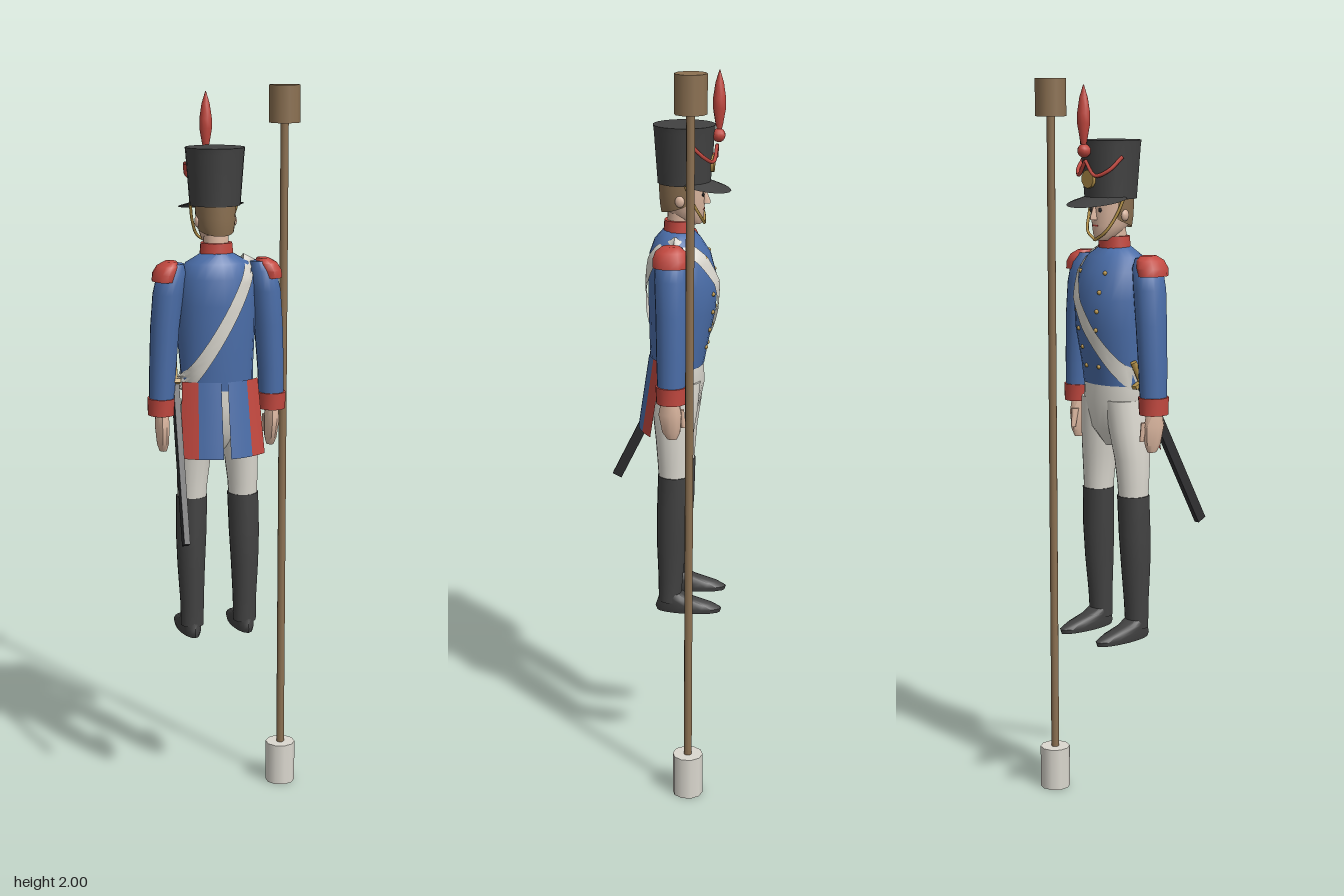
import * as THREE from 'three';
import { toCreasedNormals } from 'three/addons/utils/BufferGeometryUtils.js';

const mat = (name, color) => new THREE.MeshStandardMaterial({ name, color, side: THREE.DoubleSide });

// Stack of ellipses [y, x, z, rx, rz], bottom to top, with closed ends
function loft(rings, seg = 16) {
  const pos = [], idx = [], n = rings.length;
  for (const [y, x, z, rx, rz] of rings)
    for (let j = 0; j < seg; j++) {
      const a = (j / seg) * Math.PI * 2;
      pos.push(x + rx * Math.cos(a), y, z + rz * Math.sin(a));
    }
  for (const r of [rings[0], rings[n - 1]]) pos.push(r[1], r[0], r[2]);
  for (let j = 0; j < seg; j++) {
    const k = (j + 1) % seg;
    for (let i = 0; i < n - 1; i++) {
      const a = i * seg + j, c = i * seg + k;
      idx.push(a, a + seg, c, c, a + seg, c + seg);
    }
    idx.push(n * seg, j, k, n * seg + 1, (n - 1) * seg + k, (n - 1) * seg + j);
  }
  return finish(pos, idx);
}

// Open sheet from a rule f(u, v) -> [x, y, z]
function sheet(nu, nv, f) {
  const pos = [], idx = [];
  for (let i = 0; i <= nu; i++) for (let j = 0; j <= nv; j++) pos.push(...f(i / nu, j / nv));
  for (let i = 0; i < nu; i++)
    for (let j = 0; j < nv; j++) {
      const a = i * (nv + 1) + j, b = a + nv + 1;
      idx.push(a, b, a + 1, a + 1, b, b + 1);
    }
  return finish(pos, idx);
}

function finish(pos, idx) {
  const g = new THREE.BufferGeometry();
  g.setAttribute('position', new THREE.Float32BufferAttribute(pos, 3));
  g.setIndex(idx);
  return toCreasedNormals(g, 0.8);
}

const lerp = THREE.MathUtils.lerp;
const tube = (pts, r) =>
  new THREE.TubeGeometry(new THREE.CatmullRomCurve3(pts.map(p => new THREE.Vector3(...p))), 20, r, 6);

// Jacket cross-sections, also followed by the strap and buttons
const TORSO = [
  [1.2, 0, -0.03, 0.1, 0.072], [1.25, 0, -0.033, 0.1, 0.078], [1.35, 0, -0.042, 0.107, 0.09],
  [1.43, 0, -0.044, 0.108, 0.093], [1.5, 0, -0.036, 0.103, 0.082], [1.54, 0, -0.03, 0.086, 0.062],
  [1.565, 0, -0.03, 0.042, 0.04],
];
function torsoZ(x, y, side, off) {
  let i = 0;
  while (i < TORSO.length - 2 && y > TORSO[i + 1][0]) i++;
  const t = THREE.MathUtils.clamp((y - TORSO[i][0]) / (TORSO[i + 1][0] - TORSO[i][0]), 0, 1);
  const [, , cz, rx, rz] = TORSO[i].map((v, k) => lerp(v, TORSO[i + 1][k], t));
  return cz + side * (rz * Math.sqrt(Math.max(0, 1 - (x / rx) ** 2)) + off);
}

export function createModel() {
  const M = {
    blue: mat('coatBlue', 0x4a6da8), red: mat('facingRed', 0xc2483f), black: mat('leatherBlack', 0x424242),
    dark: mat('scabbardDark', 0x2e2e30), white: mat('clothWhite', 0xdbd8cf), brown: mat('woodBrown', 0x8c7152),
    skin: mat('skin', 0xdcb7a0), gold: mat('brass', 0xb8954c),
  };
  const model = new THREE.Group();
  const man = new THREE.Group();
  man.name = 'soldier';
  man.position.x = -0.03;
  model.add(man);
  const add = (name, geo, m, p = [0, 0, 0], parent = man) => {
    const mesh = new THREE.Mesh(geo, m);
    mesh.name = name;
    mesh.position.set(...p);
    parent.add(mesh);
    return mesh;
  };

  // Sponge staff
  const staff = new THREE.Group();
  staff.name = 'staff';
  staff.position.set(0.175, 0, -0.083);
  model.add(staff);
  add('pole', new THREE.CylinderGeometry(0.011, 0.011, 1.8, 10), M.brown, [0, 1.01, 0], staff);
  add('rammerHead', new THREE.CylinderGeometry(0.042, 0.042, 0.1, 10), M.brown, [0, 1.95, 0], staff);
  add('spongeHead', new THREE.CylinderGeometry(0.042, 0.042, 0.12, 10), M.white, [0, 0.06, 0], staff);

  // Jacket, collar and hips
  add('jacket', loft(TORSO, 24), M.blue);
  add('collar', loft([[1.54, 0, -0.032, 0.048, 0.042], [1.592, 0, -0.034, 0.043, 0.04]]), M.red);
  add('hips', loft([[1.03, 0, -0.03, 0.02, 0.03], [1.08, 0, -0.03, 0.075, 0.06], [1.15, 0, -0.032, 0.098, 0.072],
    [1.21, 0, -0.03, 0.097, 0.07]], 20), M.white);

  for (const s of [-1, 1]) {
    // Arm
    add('sleeve', loft([[1.16, s * 0.155, -0.03, 0.034, 0.037], [1.25, s * 0.152, -0.03, 0.036, 0.04],
      [1.37, s * 0.145, -0.03, 0.039, 0.043], [1.46, s * 0.136, -0.028, 0.041, 0.045],
      [1.515, s * 0.126, -0.027, 0.038, 0.042], [1.54, s * 0.115, -0.027, 0.022, 0.028]]), M.blue);
    add('cuff', loft([[1.132, s * 0.156, -0.03, 0.037, 0.04], [1.178, s * 0.155, -0.03, 0.039, 0.042]]), M.red);
    add('hand', loft([[1.03, s * 0.152, -0.032, 0.01, 0.014], [1.05, s * 0.153, -0.03, 0.016, 0.025],
      [1.1, s * 0.155, -0.027, 0.02, 0.032], [1.14, s * 0.155, -0.027, 0.018, 0.024]], 10), M.skin);
    add('thumb', loft([[1.06, s * 0.143, -0.06, 0.006, 0.007], [1.11, s * 0.145, -0.052, 0.009, 0.011]], 8), M.skin);
    add('epaulette', loft([[1.495, s * 0.148, -0.026, 0.031, 0.046], [1.515, s * 0.144, -0.026, 0.034, 0.047],
      [1.535, s * 0.136, -0.026, 0.03, 0.04], [1.547, s * 0.128, -0.026, 0.016, 0.024]], 12), M.red);

    // Leg
    add('trouserLeg', loft([[0.87, s * 0.073, -0.028, 0.039, 0.04], [0.93, s * 0.072, -0.028, 0.041, 0.044],
      [1.0, s * 0.068, -0.028, 0.046, 0.05], [1.08, s * 0.058, -0.029, 0.05, 0.061],
      [1.16, s * 0.048, -0.031, 0.05, 0.066]]), M.white);
    add('boot', loft([[0.53, s * 0.076, -0.018, 0.032, 0.031], [0.6, s * 0.076, -0.02, 0.033, 0.034],
      [0.7, s * 0.077, -0.023, 0.038, 0.041], [0.79, s * 0.076, -0.026, 0.042, 0.044],
      [0.9, s * 0.073, -0.029, 0.043, 0.044]]), M.black);
    add('shoe', loft([[0.5, s * 0.077, -0.07, 0.028, 0.088], [0.512, s * 0.077, -0.07, 0.031, 0.092],
      [0.524, s * 0.077, -0.06, 0.031, 0.078], [0.54, s * 0.077, -0.033, 0.03, 0.046],
      [0.555, s * 0.076, -0.02, 0.03, 0.032]]), M.black);

    // Coat tail with turned-back edge
    const tail = (x0, x1) => sheet(5, 5, (u, v) => {
      const w = lerp(x0, x1, u), x = w * lerp(0.9, 1, v);
      return [s * x, lerp(1.225, 1.02, v), lerp(0.046, 0.076, v) - 0.045 * (w / 0.118) ** 2];
    });
    add('coatTail', tail(0.01, 0.075), M.blue);
    add('tailTurnback', tail(0.075, 0.118), M.red);

    // Jacket buttons
    for (let i = 0; i < 6; i++) {
      const y = 1.25 + i * 0.05, x = s * (0.025 + i * 0.005);
      add('button', new THREE.SphereGeometry(0.006, 8, 6), M.gold, [x, y, torsoZ(x, y, -1, 0)]);
    }

    // Side features of the face
    add('ear', new THREE.SphereGeometry(0.013, 8, 6), M.skin, [s * 0.051, 1.648, -0.04]).scale.set(0.6, 1.2, 1);
    add('eye', new THREE.SphereGeometry(0.006, 8, 6), M.dark, [s * 0.019, 1.662, -0.098]).scale.z = 0.5;
    add('brow', new THREE.BoxGeometry(0.018, 0.004, 0.006), M.brown, [s * 0.019, 1.676, -0.099]);
    add('chinStrap', tube([[s * 0.066, 1.695, -0.055], [s * 0.055, 1.645, -0.075], [s * 0.036, 1.605, -0.095],
      [0, 1.583, -0.1]], 0.004), M.gold);
    add('hatCord', tube([[s * 0.076, 1.8, -0.07], [s * 0.062, 1.765, -0.106], [s * 0.032, 1.752, -0.126],
      [0, 1.79, -0.132]], 0.005), M.red);
  }

  // Head
  add('neck', loft([[1.56, 0, -0.034, 0.034, 0.034], [1.64, 0, -0.04, 0.034, 0.036]]), M.skin);
  add('head', loft([[1.582, 0, -0.068, 0.018, 0.024], [1.596, 0, -0.06, 0.032, 0.038], [1.62, 0, -0.048, 0.043, 0.052],
    [1.655, 0, -0.043, 0.05, 0.059], [1.705, 0, -0.043, 0.052, 0.06]]), M.skin);
  add('nose', loft([[1.636, 0, -0.103, 0.009, 0.013], [1.645, 0, -0.103, 0.008, 0.012],
    [1.672, 0, -0.099, 0.004, 0.005]], 8), M.skin);
  add('mouth', new THREE.BoxGeometry(0.02, 0.004, 0.006), M.red, [0, 1.621, -0.097]);
  add('hair', sheet(16, 4, (u, v) => {
    const k = u * 2 - 1, a = k * 1.9, y = lerp(1.612 + 0.025 * k * k, 1.705, v);
    const r = 0.94 + 0.12 * Math.sqrt(v);
    return [0.052 * r * Math.sin(a), y, -0.043 + 0.061 * r * Math.cos(a)];
  }), M.brown);

  // Tall hat, visor, badge and plume
  add('hat', loft([[1.69, 0, -0.046, 0.068, 0.07], [1.705, 0, -0.046, 0.069, 0.071], [1.825, 0, -0.046, 0.078, 0.08],
    [1.842, 0, -0.046, 0.08, 0.082]], 24), M.black);
  add('visor', sheet(16, 3, (u, v) => {
    const a = (u * 2 - 1) * 1.45, r = 0.066 + v * 0.058 * Math.sqrt(Math.cos(a));
    return [r * Math.sin(a) * 0.95, 1.697 - v * 0.027 * Math.cos(a), -0.046 - r * Math.cos(a)];
  }), M.black);
  add('badge', new THREE.CylinderGeometry(0.024, 0.024, 0.009, 10), M.gold, [0, 1.742, -0.121]).rotation.x = -Math.PI / 2;
  add('pompom', new THREE.SphereGeometry(0.018, 10, 8), M.red, [0, 1.815, -0.136]);
  const plume = [[0.004, 1.82], [0.01, 1.845], [0.017, 1.885], [0.017, 1.91], [0.011, 1.95], [0.001, 1.983]];
  add('plume', new THREE.LatheGeometry(plume.map(p => new THREE.Vector2(...p)), 10), M.red, [0, 0, -0.137]);

  // Shoulder strap, looping down the back and up the chest
  add('shoulderStrap', sheet(56, 4, (u, v) => {
    const side = u < 0.5 ? 1 : -1, t = 1 - Math.abs(1 - 2 * u), w = (v - 0.5) * 0.036;
    const x = lerp(0.09, -0.108, t ** 1.15) + w * 0.884, y = lerp(1.552, 1.2, t) - w * 0.467;
    return [x, y, torsoZ(x, y, side, 0.007 * Math.min(1, 8 * t, 8 * (1 - t)))];
  }), M.white);

  // Sword hanging at the hip
  const sword = new THREE.Group();
  sword.name = 'sword';
  sword.position.set(-0.116, 1.21, -0.035);
  sword.quaternion.setFromUnitVectors(new THREE.Vector3(0, -1, 0), new THREE.Vector3(-0.022, -0.39, 0.19).normalize());
  man.add(sword);
  add('scabbard', new THREE.BoxGeometry(0.016, 0.44, 0.028), M.dark, [0, -0.22, 0], sword);
  add('guard', new THREE.BoxGeometry(0.018, 0.01, 0.06), M.gold, [0, 0.004, 0], sword);
  add('grip', new THREE.CylinderGeometry(0.009, 0.009, 0.06, 8), M.gold, [0, 0.035, 0], sword);
  return model;
}
